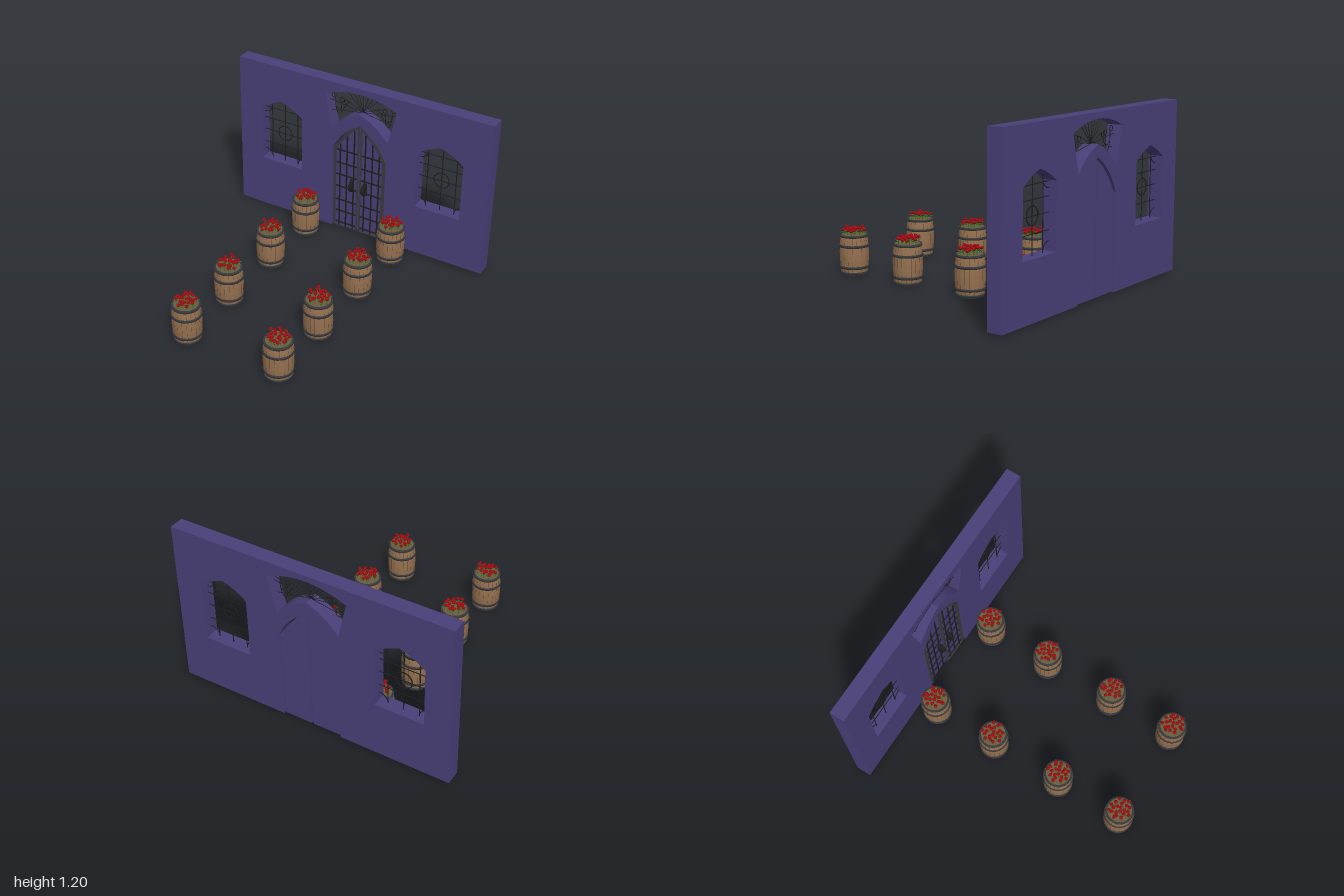
import * as THREE from 'three';

const material = (color, extra = {}) => new THREE.MeshStandardMaterial({ color, roughness: 0.8, ...extra });
const purple = material(0x493f78);
const iron = material(0x1e1e20);
const frameGrey = material(0x3a3a3c);
const hoopGrey = material(0x36383c);
const wood = material(0x94704f, { flatShading: true });
const darkWood = material(0x5a4230);
const soil = material(0x6a5c40);
const red = material(0xa00810, { flatShading: true });
const green = material(0x2f6a24, { flatShading: true, side: THREE.DoubleSide });

const BACK = -0.925, FRONT = -0.82, BAR_Z = -0.87;

function add(parent, name, geometry, mat, x = 0, y = 0, z = 0) {
  const mesh = new THREE.Mesh(geometry, mat);
  mesh.name = name;
  mesh.position.set(x, y, z);
  parent.add(mesh);
  return mesh;
}

const extrude = (shape, depth) => new THREE.ExtrudeGeometry(shape, { depth, bevelEnabled: false, curveSegments: 12 });

// Thin round bar through a list of [x, y] points
function bar(parent, name, points, z = BAR_Z, r = 0.003) {
  const v = points.map(([x, y]) => new THREE.Vector3(x, y, z));
  const curve = v.length === 2 ? new THREE.LineCurve3(v[0], v[1]) : new THREE.CatmullRomCurve3(v);
  return add(parent, name, new THREE.TubeGeometry(curve, v.length === 2 ? 1 : 24, r, 6), iron);
}

function windowHole(cx, bottom) {
  const p = new THREE.Path();
  p.moveTo(cx - 0.173, bottom);
  p.lineTo(cx + 0.173, bottom);
  p.lineTo(cx + 0.173, 0.83);
  p.quadraticCurveTo(cx + 0.1, 0.89, cx, 0.922);
  p.quadraticCurveTo(cx - 0.1, 0.89, cx - 0.173, 0.83);
  p.closePath();
  return p;
}

function fanHole() {
  const p = new THREE.Path();
  p.moveTo(-0.223, 0.833);
  p.quadraticCurveTo(-0.135, 0.95, 0, 0.997);
  p.quadraticCurveTo(0.135, 0.95, 0.223, 0.833);
  p.lineTo(0.283, 1.09);
  p.quadraticCurveTo(0, 1.22, -0.283, 1.09);
  p.closePath();
  return p;
}

// Wall with the pointed doorway, two windows and the fanlight cut out
function makeWall(group) {
  const s = new THREE.Shape();
  s.moveTo(-1, 0.015);
  s.lineTo(-0.216, 0.015);
  s.lineTo(-0.216, 0.67);
  s.quadraticCurveTo(-0.145, 0.83, 0, 0.915);
  s.quadraticCurveTo(0.145, 0.83, 0.216, 0.67);
  s.lineTo(0.216, 0.015);
  s.lineTo(1, 0.015);
  s.lineTo(1, 1.197);
  s.lineTo(-1, 1.197);
  s.closePath();
  s.holes.push(windowHole(-0.645, 0.41), windowHole(0.63, 0.4), fanHole());
  add(group, 'wall', extrude(s, FRONT - BACK), purple, 0, 0, BACK);
}

// Window lattice with a centre ring and quarter rings in the corners
function makeLattice(group, cx, bottom) {
  const g = new THREE.Group();
  g.name = 'windowLattice';
  group.add(g);
  for (const dx of [-0.11, 0, 0.11]) {
    bar(g, 'windowUpright', [[cx + dx, bottom], [cx + dx, dx ? 0.872 : 0.92]], BAR_Z, 0.0035);
  }
  for (const y of [0.53, 0.637, 0.735, 0.825]) bar(g, 'windowCrossbar', [[cx - 0.172, y], [cx + 0.172, y]]);
  add(g, 'windowRing', new THREE.TorusGeometry(0.058, 0.004, 6, 32), iron, cx, 0.64, BAR_Z);
  for (const sx of [-1, 1]) {
    for (const [y, top] of [[bottom, 0], [0.845, 1]]) {
      const arc = add(g, 'cornerRing', new THREE.TorusGeometry(0.062, 0.003, 6, 10, Math.PI / 2), iron, cx + sx * 0.172, y, BAR_Z);
      arc.rotation.z = Math.PI / 2 * (top ? (sx > 0 ? 2 : 3) : (sx > 0 ? 1 : 0));
    }
  }
}

// Radiating spokes and mirrored scrollwork in the fanlight
function makeFan(group) {
  const g = new THREE.Group();
  g.name = 'fanlight';
  group.add(g);
  bar(g, 'fanSpoke', [[0, 0.995], [0, 1.155]], BAR_Z, 0.002);
  for (const s of [-1, 1]) {
    for (const [x, y] of [[0.045, 1.152], [0.09, 1.146], [0.135, 1.136], [0.13, 1.055], [0.27, 1.035], [0.25, 0.95]]) {
      bar(g, 'fanSpoke', [[0, 0.995], [s * x, y]], BAR_Z, 0.002);
    }
    bar(g, 'scroll', [[0.225, 1.06], [0.222, 0.99], [0.2, 0.935], [0.178, 0.945], [0.176, 1.0], [0.172, 1.035]].map(([x, y]) => [s * x, y]), BAR_Z, 0.0025);
    bar(g, 'scroll', [[0.222, 0.99], [0.19, 0.97], [0.16, 0.98], [0.14, 1.025]].map(([x, y]) => [s * x, y]), BAR_Z, 0.0025);
    for (const [x, y, r] of [[0.238, 1.07, 0.017], [0.17, 1.05, 0.017], [0.137, 1.04, 0.016]]) {
      add(g, 'scrollRing', new THREE.TorusGeometry(r, 0.0025, 6, 20), iron, s * x, y, BAR_Z);
    }
  }
}

// Half of the pointed arch, inset by a margin
function leafOutline(PathClass, side, inset) {
  const x0 = 0.007 + inset * 0.4, x1 = 0.206 - inset;
  const p = new PathClass();
  p.moveTo(side * x0, 0.02 + inset * 0.3);
  p.lineTo(side * x1, 0.02 + inset * 0.3);
  p.lineTo(side * x1, 0.67 - inset * 0.4);
  p.quadraticCurveTo(side * (0.135 - inset * 0.6), 0.815 - inset, side * x0, 0.897 - inset * 1.1);
  p.closePath();
  return p;
}

function makeDoor(group, side) {
  const g = new THREE.Group();
  g.name = side > 0 ? 'leftDoor' : 'rightDoor';
  group.add(g);
  add(g, 'doorLeaf', extrude(leafOutline(THREE.Shape, side, 0), 0.075), purple, 0, 0, -0.915);
  const frame = leafOutline(THREE.Shape, side, 0);
  frame.holes.push(leafOutline(THREE.Path, side, 0.021));
  add(g, 'doorFrame', extrude(frame, 0.012), frameGrey, 0, 0, -0.84);
  for (const [x, top] of [[0.045, 0.845], [0.103, 0.79], [0.158, 0.715]]) {
    add(g, 'doorUpright', new THREE.BoxGeometry(0.009, top - 0.025, 0.008), iron, side * x, (top + 0.025) / 2, -0.837);
  }
  for (const y of [0.05, 0.15, 0.245, 0.36, 0.46, 0.558, 0.665]) {
    add(g, 'doorCrossbar', new THREE.BoxGeometry(0.175, 0.009, 0.008), iron, side * 0.1, y, -0.837);
  }
  // Curved pull handle on a back plate
  add(g, 'handlePlate', new THREE.BoxGeometry(0.026, 0.1, 0.008), iron, side * 0.055, 0.4, -0.831);
  const pull = add(g, 'handle', new THREE.TorusGeometry(0.037, 0.013, 8, 14, Math.PI), iron, side * 0.052, 0.4, -0.83);
  pull.rotation.set(0, -Math.PI / 2, -Math.PI / 2, 'YXZ');
}

// Barrel profile radius at height y
const barrelRadius = (y) => 0.101 - 0.6 * (y - 0.14) ** 2;

function makeBarrel(group, x, z, seed) {
  const g = new THREE.Group();
  g.name = 'flowerBarrel';
  g.position.set(x, 0, z);
  group.add(g);
  const profile = [0.004, 0.05, 0.1, 0.14, 0.18, 0.225, 0.27].map((y) => new THREE.Vector2(barrelRadius(y), y));
  const staves = 20, step = Math.PI * 2 / staves;
  for (let i = 0; i < staves; i++) {
    add(g, 'stave', new THREE.LatheGeometry(profile, 1, i * step, step * 0.95), wood);
  }
  add(g, 'barrelCore', new THREE.LatheGeometry(profile.map((p) => new THREE.Vector2(p.x - 0.003, p.y)), 20), darkWood);
  add(g, 'barrelBase', new THREE.CylinderGeometry(0.093, 0.093, 0.012, 24), hoopGrey, 0, 0.006);
  add(g, 'soil', new THREE.CylinderGeometry(0.088, 0.088, 0.01, 24), soil, 0, 0.266);
  for (const [y, h] of [[0.012, 0.014], [0.05, 0.018], [0.198, 0.018], [0.266, 0.016]]) {
    const r = barrelRadius(y);
    const hoop = [[r - 0.008, -h / 2], [r + 0.004, -h / 2], [r + 0.006, 0], [r + 0.004, h / 2], [r - 0.008, h / 2]];
    add(g, 'hoop', new THREE.LatheGeometry(hoop.map(([a, b]) => new THREE.Vector2(a, b)), 28), hoopGrey, 0, y);
  }
  // Roses spread in a spiral, each with a stem and two leaves
  const rand = () => (seed = (seed * 16807) % 2147483647) / 2147483647;
  for (let i = 0; i < 22; i++) {
    const a = i * 2.4 + rand() * 0.4, r = 0.077 * Math.sqrt((i + 0.4) / 22);
    const fx = r * Math.cos(a), fz = r * Math.sin(a), fy = 0.3 + rand() * 0.022;
    add(g, 'stem', new THREE.CylinderGeometry(0.002, 0.002, fy - 0.265, 5), green, fx, (fy + 0.265) / 2, fz);
    const bloom = add(g, 'rose', new THREE.IcosahedronGeometry(0.0125, 1), red, fx, fy, fz);
    bloom.scale.y = 0.85;
    for (const turn of [0, 2.5]) {
      const leaf = add(g, 'leaf', new THREE.OctahedronGeometry(0.012), green, fx + 0.01 * Math.cos(a + turn), fy - 0.013, fz + 0.01 * Math.sin(a + turn));
      leaf.scale.set(1, 0.35, 0.6);
      leaf.rotation.y = -a - turn;
    }
  }
}

export function createModel() {
  const group = new THREE.Group();
  group.name = 'entranceWithBarrels';
  makeWall(group);
  makeLattice(group, -0.645, 0.41);
  makeLattice(group, 0.63, 0.4);
  makeFan(group);
  for (const side of [-1, 1]) {
    makeDoor(group, side);
    [-0.68, -0.2, 0.325, 0.81].forEach((z, i) => makeBarrel(group, side * 0.353, z, 101 + i * 37 + side));
  }
  return group;
}
